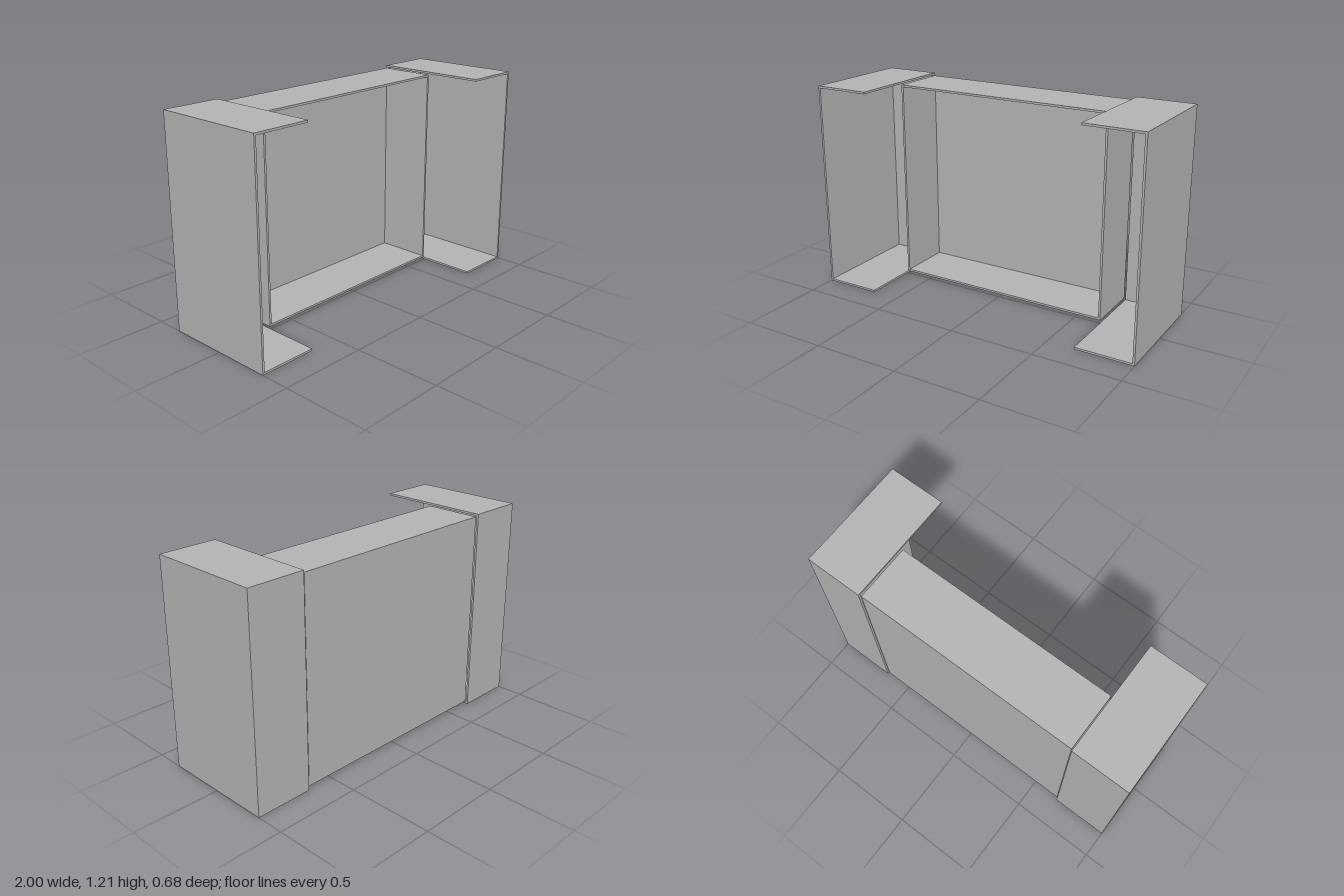
import * as THREE from 'three';

export function createModel() {
  const model = new THREE.Group();
  const grey = new THREE.MeshStandardMaterial({ color: 0xb2b2b2 });
  grey.name = 'grey panel';

  // Box panel given by its two opposite corners
  function panel(parent, name, [x0, y0, z0], [x1, y1, z1]) {
    const mesh = new THREE.Mesh(new THREE.BoxGeometry(x1 - x0, y1 - y0, z1 - z0), grey);
    mesh.position.set((x0 + x1) / 2, (y0 + y1) / 2, (z0 + z1) / 2);
    mesh.name = name;
    parent.add(mesh);
  }

  function group(name) {
    const g = new THREE.Group();
    g.name = name;
    model.add(g);
    return g;
  }

  const t = 0.012; // panel thickness

  // Centre case: shallow tray, open at the front
  const centre = group('centreCase');
  const [cx0, cx1, cy0, cy1, cz0, cz1] = [-0.66, 0.654, 0.018, 1.193, -0.329, 0.004];
  panel(centre, 'centreBack', [cx0, cy0, cz0], [cx1, cy1, cz0 + t]);
  panel(centre, 'centreTop', [cx0, cy1 - t, cz0 + t], [cx1, cy1, cz1]);
  panel(centre, 'centreBottom', [cx0, cy0, cz0 + t], [cx1, cy0 + t, cz1]);
  panel(centre, 'centreRightWall', [cx0, cy0 + t, cz0 + t], [cx0 + t, cy1 - t, cz1]);
  panel(centre, 'centreLeftWall', [cx1 - t, cy0 + t, cz0 + t], [cx1, cy1 - t, cz1]);

  // Deep end cases: open at the front and on the inner side
  const ends = [
    { name: 'right', x0: -1, x1: -0.667, z0: -0.341, z1: 0.332, outer: -1 },
    { name: 'left', x0: 0.663, x1: 1, z0: -0.337, z1: 0.339, outer: 1 },
  ];
  const h = 1.208;
  for (const { name, x0, x1, z0, z1, outer } of ends) {
    const g = group(name + 'EndCase');
    const wall = outer < 0 ? x0 : x1 - t;
    panel(g, name + 'Top', [x0, h - t, z0], [x1, h, z1]);
    panel(g, name + 'Bottom', [x0, 0, z0], [x1, t, z1]);
    panel(g, name + 'Back', [x0, t, z0], [x1, h - t, z0 + t]);
    panel(g, name + 'OuterWall', [wall, t, z0 + t], [wall + t, h - t, z1]);
  }

  return model;
}
